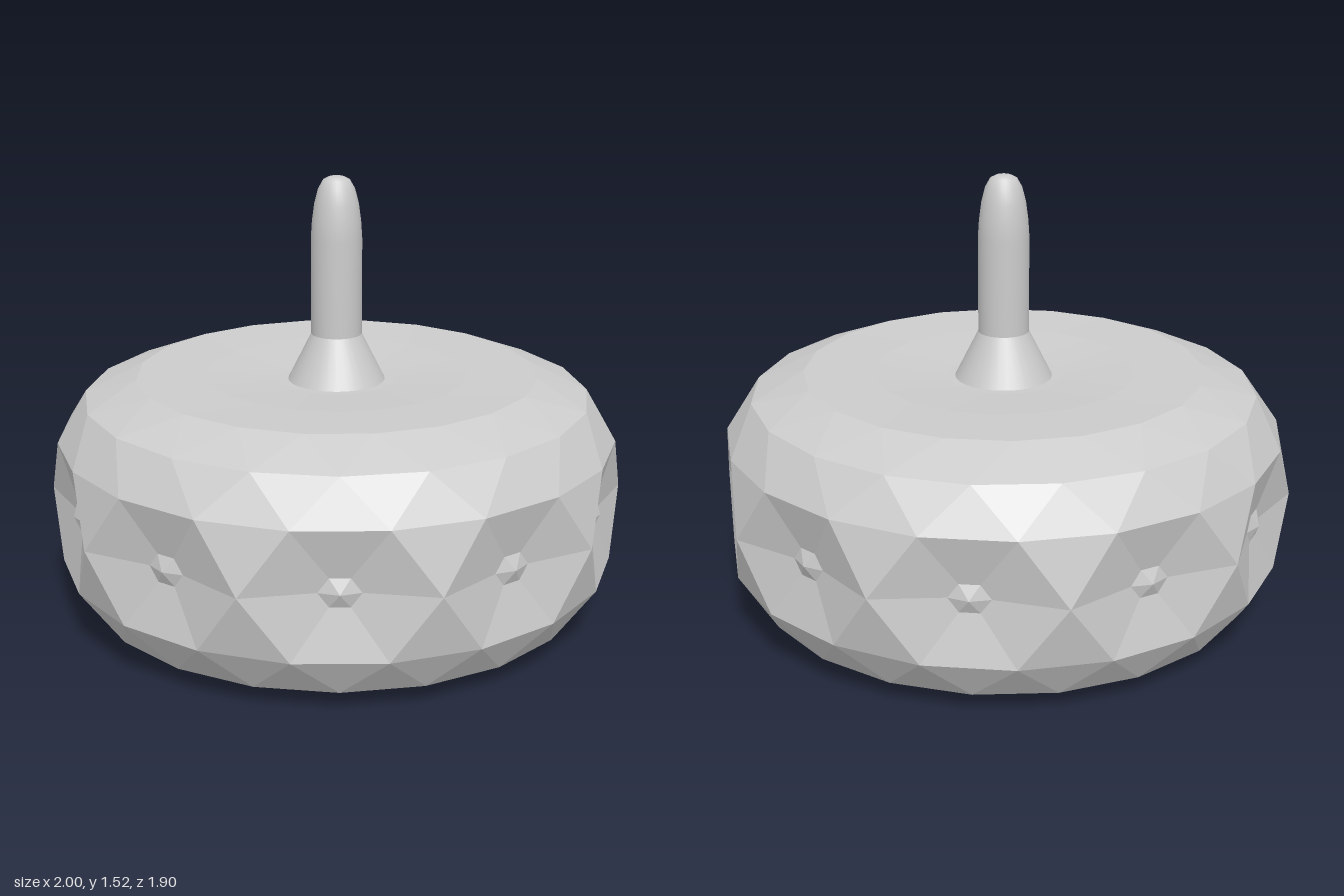
import * as THREE from 'three';

const MID = 0.43; // height of the body's equator

// point from angle (degrees), radius and height
const polar = (deg, r, y) => {
  const a = THREE.MathUtils.degToRad(deg);
  return new THREE.Vector3(r * Math.cos(a), y, -r * Math.sin(a));
};

function facetMesh(name, tris, material) {
  const geo = new THREE.BufferGeometry().setFromPoints(tris.flat());
  geo.computeVertexNormals();
  const mesh = new THREE.Mesh(geo, material);
  mesh.name = name;
  return mesh;
}

// Staggered rings of 20 points, from the rim of the panels to the dished centre
function capTriangles(sign) {
  const profile = [[0.963, 0.215], [0.87, 0.355], [0.69, 0.425], [0.45, 0.42], [0.2, 0.4]];
  const rings = profile.map(([r, h], j) =>
    Array.from({ length: 20 }, (_, i) => polar(i * 18 + 9 + j * 9, r, MID + sign * h)));
  const tris = [];
  const add = (a, b, c) => tris.push(sign > 0 ? [a, b, c] : [a, c, b]);
  for (let j = 0; j < rings.length; j++) {
    for (let i = 0; i < 20; i++) {
      const n = (i + 1) % 20;
      const outer = rings[j], inner = rings[j + 1];
      if (inner) {
        add(outer[i], outer[n], inner[i]);
        add(outer[n], inner[n], inner[i]);
      } else add(outer[i], outer[n], new THREE.Vector3(0, MID + sign * 0.395, 0));
    }
  }
  return tris;
}

// Ten sunken hexagon panels, each with a small raised stud, and the triangles between
function sideTriangles() {
  const panels = [], studs = [], gaps = [];
  const high = a => polar(a, 0.963, MID + 0.215);
  const low = a => polar(a, 0.963, MID - 0.215);
  const mid = a => polar(a, 1, MID);
  for (let k = 0; k < 10; k++) {
    const v = k * 36, c = v + 18;
    gaps.push([mid(v), high(v + 9), high(v - 9)], [mid(v), low(v - 9), low(v + 9)]);

    const hex = [mid(c - 18), low(c - 9), low(c + 9), mid(c + 18), high(c + 9), high(c - 9)];
    const centre = polar(c, 0.951, MID);
    const push = polar(c, -0.04, 0);
    const pit = hex.map(p => centre.clone().lerp(p, 0.22).add(push));
    const tip = polar(c, 0.932, MID);
    for (let i = 0; i < 6; i++) {
      const n = (i + 1) % 6;
      panels.push([hex[i], hex[n], pit[n]], [hex[i], pit[n], pit[i]]);
      studs.push([pit[i], pit[n], tip]);
    }
  }
  return { panels, studs, gaps };
}

function lathe(name, points, material) {
  const geo = new THREE.LatheGeometry(points.map(p => new THREE.Vector2(...p)), 32);
  const mesh = new THREE.Mesh(geo, material);
  mesh.name = name;
  return mesh;
}

export function createModel() {
  const group = new THREE.Group();
  group.name = 'spinningTop';
  const facet = new THREE.MeshStandardMaterial({ color: 0xcccccc, flatShading: true });
  const smooth = new THREE.MeshStandardMaterial({ color: 0xcccccc });

  // faceted body
  const body = new THREE.Group();
  body.name = 'body';
  const { panels, studs, gaps } = sideTriangles();
  body.add(
    facetMesh('topCap', capTriangles(1), facet),
    facetMesh('bottomCap', capTriangles(-1), facet),
    facetMesh('sidePanels', panels, facet),
    facetMesh('panelStuds', studs, facet),
    facetMesh('sideTriangles', gaps, facet)
  );
  group.add(body);

  // stem with flared foot and rounded tip
  group.add(
    lathe('stemFoot', [[0.172, 0.82], [0.087, 0.99]], smooth),
    lathe('stem', [[0.087, 0.99], [0.087, 1.32], [0.083, 1.38], [0.075, 1.44],
      [0.062, 1.49], [0.045, 1.52], [0.025, 1.53], [0, 1.53]], smooth)
  );
  return group;
}
